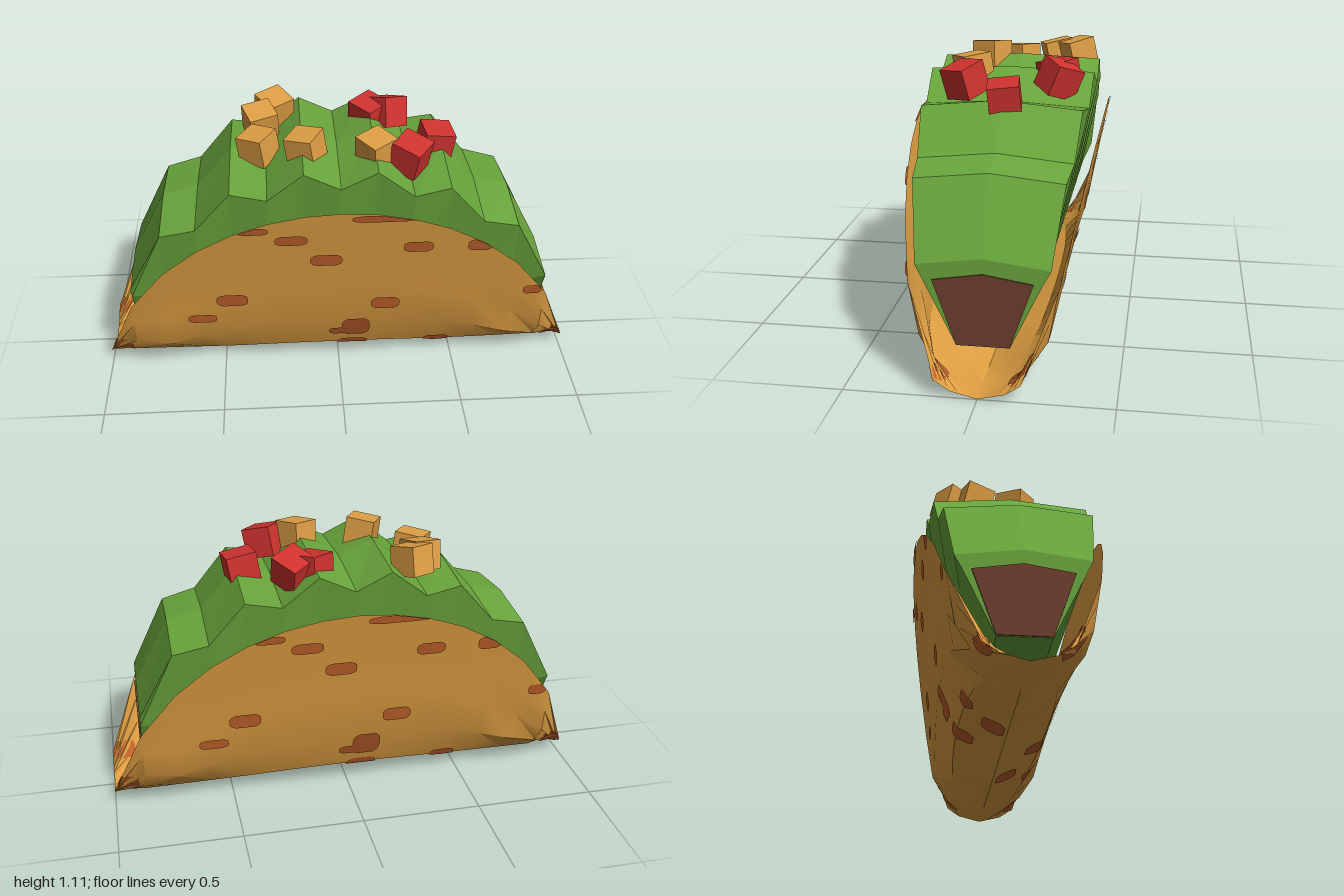
import * as THREE from 'three';
import { toCreasedNormals } from 'three/addons/utils/BufferGeometryUtils.js';

const mat = (name, color, extra = {}) => Object.assign(new THREE.MeshStandardMaterial({ color, ...extra }), { name });

// Folded cross-section of the shell: [z, y] from the bottom fold up one side
const SECTION = [[0, 0], [0.105, 0.026], [0.17, 0.073], [0.236, 0.15], [0.257, 0.27], [0.28, 0.4], [0.32, 0.59], [0.38, 0.88]];
const STEP = 0.145, ROWS = 5;
const COLS = [-1];
for (let i = -6; i <= 6; i++) COLS.push(i * STEP);
COLS.push(1);

// Point at distance s along the cross-section
function along(s) {
  for (let i = 1; i < SECTION.length; i++) {
    const [z0, y0] = SECTION[i - 1], [z1, y1] = SECTION[i];
    const len = Math.hypot(z1 - z0, y1 - y0);
    if (s <= len || i === SECTION.length - 1) {
      const t = Math.min(s / len, 1);
      return [z0 + (z1 - z0) * t, y0 + (y1 - y0) * t];
    }
    s -= len;
  }
}

// Shell vertex: column i along x, row j from -ROWS (back rim) to ROWS (front rim)
function shellVertex(i, j) {
  const x = COLS[i], rim = Math.sqrt(1.067 - 1.037 * x * x);
  const [z, y] = along(rim * Math.abs(j) / ROWS);
  return new THREE.Vector3(x, y, Math.sign(j) * z);
}

// Point on the front half of the faceted shell, v = 0 fold to 1 rim
function shellPoint(x, v) {
  let i = 0;
  while (i < COLS.length - 2 && x > COLS[i + 1]) i++;
  const tx = (x - COLS[i]) / (COLS[i + 1] - COLS[i]);
  const j = Math.min(Math.floor(v * ROWS), ROWS - 1), tv = v * ROWS - j;
  const a = shellVertex(i, j).lerp(shellVertex(i + 1, j), tx);
  return a.lerp(shellVertex(i, j + 1).lerp(shellVertex(i + 1, j + 1), tx), tv);
}

function pointAtHeight(x, y) {
  let lo = 0, hi = 1;
  for (let k = 0; k < 24; k++) {
    const m = (lo + hi) / 2;
    if (shellPoint(x, m).y < y) lo = m; else hi = m;
  }
  return shellPoint(x, lo);
}

// Surface through a grid of points
function gridGeometry(nu, nv, point) {
  const pos = [], idx = [];
  for (let u = 0; u <= nu; u++) for (let v = 0; v <= nv; v++) pos.push(...point(u, v).toArray());
  for (let u = 0; u < nu; u++) for (let v = 0; v < nv; v++) {
    const a = u * (nv + 1) + v, b = a + nv + 1;
    idx.push(a, b, b + 1, a, b + 1, a + 1);
  }
  const g = new THREE.BufferGeometry();
  g.setAttribute('position', new THREE.Float32BufferAttribute(pos, 3));
  g.setIndex(idx);
  g.computeVertexNormals();
  return g;
}

// Rounded toasted spot lying just off the shell surface
function spotGeometry(x, y, w, h, offset) {
  return gridGeometry(6, 8, (u, v) => {
    const t = v / 4 - 1;
    const half = (w / 2) * (1 - 0.4 * Math.abs(t) ** 4);
    const px = THREE.MathUtils.clamp(x + (u / 3 - 1) * half, -0.999, 0.999);
    const p = pointAtHeight(px, Math.max(0.002, y + t * h / 2));
    const steep = Math.min(1, p.y / 0.2);
    p.z += offset * (0.4 + 0.6 * steep);
    p.y -= offset * (1 - steep);
    return p;
  });
}

// Half cross-section of the lettuce at each station out from the middle: [edge z, edge y, crest y]
const LETTUCE = [[0.335, 0.96, 0.985], [0.333, 1.03, 1.045], [0.328, 0.915, 0.935], [0.315, 0.94, 0.97],
  [0.3, 0.77, 0.8], [0.285, 0.735, 0.765], [0.25, 0.455, 0.488]];

function lettuceGeometry() {
  const ring = (k) => {
    const [z, y, crest] = LETTUCE[Math.abs(k)];
    const side = [[0.1, 0.145], [0.22, 0.4], [z, y]];
    const loop = [...side, [0, crest], ...side.map(([a, b]) => [-a, b]).reverse()];
    return loop.map(([pz, py]) => new THREE.Vector3(k * STEP, py, pz));
  };
  const body = gridGeometry(12, 7, (u, v) => ring(u - 6)[v % 7]).toNonIndexed();
  const pos = [...body.attributes.position.array];
  // end caps
  for (const end of [-6, 6]) {
    const r = ring(end);
    for (let i = 1; i < 6; i++) {
      const tri = end > 0 ? [r[0], r[i], r[i + 1]] : [r[0], r[i + 1], r[i]];
      tri.forEach((p) => pos.push(p.x, p.y, p.z));
    }
  }
  // winding of the caps follows the ring direction
  const g = new THREE.BufferGeometry();
  g.setAttribute('position', new THREE.Float32BufferAttribute(pos, 3));
  g.computeVertexNormals();
  return g;
}

export function createModel() {
  const group = new THREE.Group();
  const both = { side: THREE.DoubleSide };
  const shellMat = mat('toasted shell', 0xdf9f42, both);
  const spotMat = mat('brown spot', 0xbe602b, both);
  const lettuceMat = mat('lettuce green', 0x6aa63c, { flatShading: true, ...both });
  const meatMat = mat('meat brown', 0x6d3f2e, { flatShading: true });
  const tomatoMat = mat('tomato red', 0xd0332f, { flatShading: true });
  const cheeseMat = mat('cheese orange', 0xdf9f45, { flatShading: true });

  const add = (name, geometry, material, parent = group) => {
    const m = new THREE.Mesh(geometry, material);
    m.name = name;
    parent.add(m);
    return m;
  };

  // folded shell
  const shell = gridGeometry(COLS.length - 1, ROWS * 2, (u, v) => shellVertex(u, ROWS - v));
  // turn the faces outward
  const order = shell.index.array;
  for (let i = 0; i < order.length; i += 3) [order[i], order[i + 1]] = [order[i + 1], order[i]];
  add('shell', toCreasedNormals(shell, 0.55), shellMat);

  // toasted spots [x, y, width, height], repeated on the back by a half turn
  const SPOTS = [[-0.2, 0.745, 0.13, 0.05], [-0.06, 0.63, 0.13, 0.06], [0.31, 0.69, 0.12, 0.055],
    [-0.45, 0.41, 0.13, 0.065], [0.19, 0.365, 0.12, 0.065], [-0.58, 0.305, 0.12, 0.045],
    [0.81, 0.415, 0.08, 0.05], [0.07, 0.21, 0.12, 0.12], [0.01, 0.18, 0.11, 0.045],
    [0.06, 0.085, 0.13, 0.065], [0.31, 0.025, 0.13, 0.04], [0.43, 0.085, 0.11, 0.05],
    [-0.94, 0.1, 0.09, 0.11], [0.95, 0.08, 0.1, 0.06], [0.17, 0.85, 0.26, 0.035],
    [-0.35, 0.8, 0.12, 0.035], [0.56, 0.69, 0.1, 0.06]];
  for (const turn of [0, Math.PI]) {
    const side = new THREE.Group();
    side.name = turn ? 'backSpots' : 'frontSpots';
    side.rotation.y = turn;
    group.add(side);
    for (const [x, y, w, h] of SPOTS) {
      add('spot', spotGeometry(x, y, w, h, 0.006), spotMat, side);
      if (Math.abs(x) > 0.9) add('innerSpot', spotGeometry(x, y, w, h, -0.006), spotMat, side);
    }
  }

  // lettuce filling
  add('lettuce', lettuceGeometry(), lettuceMat);

  // meat filling, showing at both ends
  const outline = [[-0.1, 0.147], [0.1, 0.147], [0.187, 0.4], [0, 0.43], [-0.187, 0.4]];
  const meat = new THREE.ExtrudeGeometry(new THREE.Shape(outline.map(([z, y]) => new THREE.Vector2(z, y))),
    { depth: 1.752, bevelEnabled: false });
  meat.translate(0, 0, -0.876).rotateY(Math.PI / 2);
  add('meat', meat, meatMat);

  // diced toppings [x, y, z, tilt x, turn y, tilt z]
  const dice = (name, size, material, list) => {
    const cube = new THREE.BoxGeometry(size, size, size);
    for (const [x, y, z, rx, ry, rz] of list) {
      const m = add(name, cube, material);
      m.position.set(x, y, z);
      m.rotation.set(rx, ry, rz, 'YXZ');
    }
  };
  dice('tomatoCube', 0.125, tomatoMat, [[0.41, 0.975, -0.01, 0.1, 0.12, -0.15], [0.285, 1.015, 0.17, 0.1, -0.6, -0.25],
    [0.15, 1.015, -0.19, 0.1, 0.75, 0.1], [0.225, 1.02, -0.2, -0.3, 0.7, -0.25]]);
  dice('cheeseCube', 0.12, cheeseMat, [[0.15, 1.035, 0.16, 0.1, 0.65, 0.1], [-0.13, 1.04, 0.13, 0.1, -0.5, 0.12],
    [-0.32, 0.995, 0.03, 0.1, -0.6, 0.1], [-0.31, 1.02, -0.14, 0.2, 0.35, 0.1], [-0.25, 1.035, -0.23, 0.2, 0.6, 0.1]]);
  return group;
}
